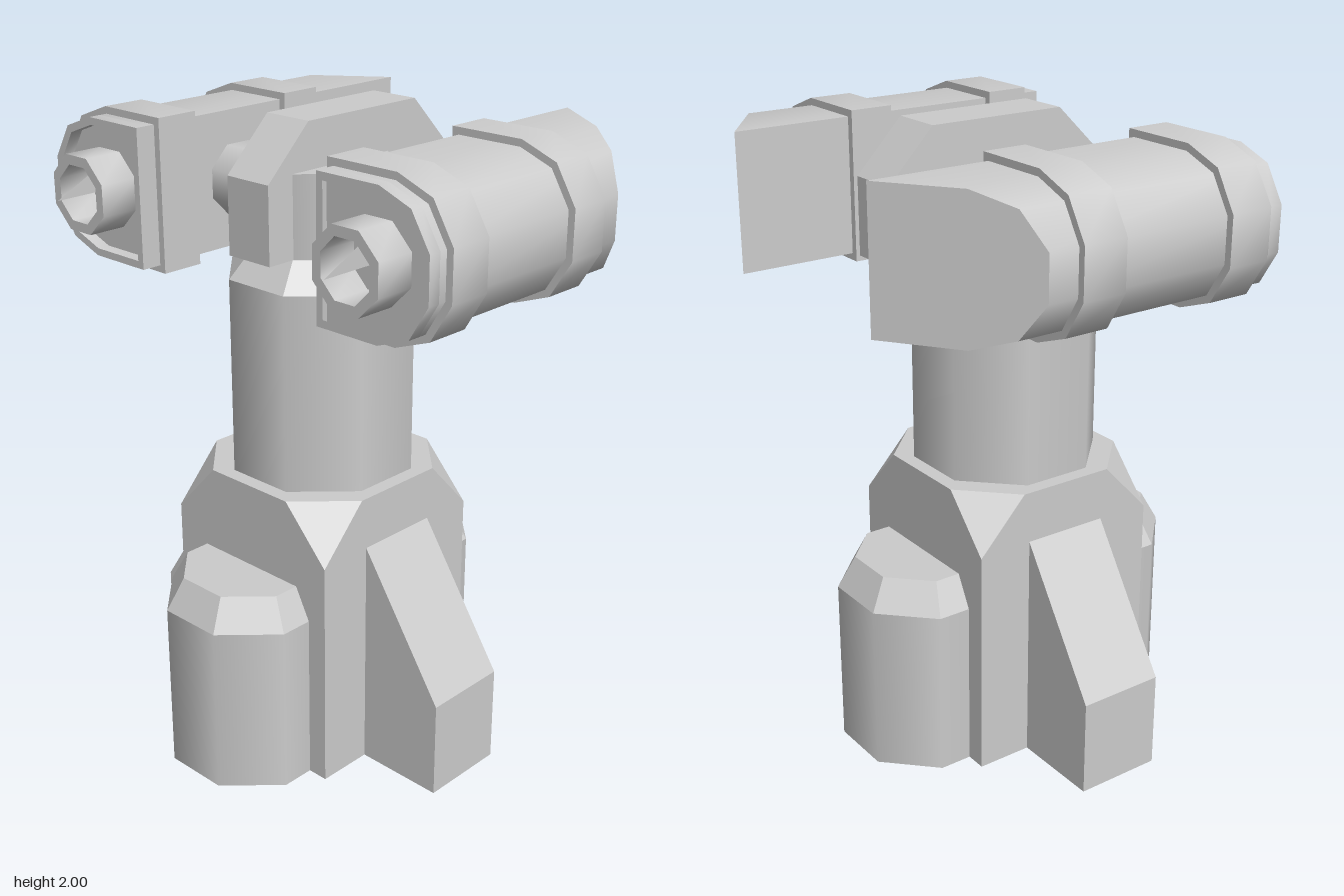
import * as THREE from 'three';
import { toCreasedNormals } from 'three/addons/utils/BufferGeometryUtils.js';
import { ConvexGeometry } from 'three/addons/geometries/ConvexGeometry.js';

const smooth = new THREE.MeshStandardMaterial({ color: 0xcccccc });
const flat = new THREE.MeshStandardMaterial({ color: 0xcccccc, flatShading: true });
const thin = new THREE.MeshStandardMaterial({ color: 0xcccccc, flatShading: true, side: THREE.DoubleSide });
const CZ = 0.065; // depth of the tower's axis
const AXLE_Y = 1.74;
const corner = (apothem) => apothem / Math.cos(Math.PI / 8);

function add(parent, name, geometry, material = flat) {
  const mesh = new THREE.Mesh(geometry, material);
  mesh.name = name;
  parent.add(mesh);
  return mesh;
}

// Octagonal prism or frustum, sized across the flats, with flats facing the axes
function octagon(bottom, top, height) {
  return new THREE.CylinderGeometry(corner(top), corner(bottom), height, 8).rotateY(Math.PI / 8);
}

// Upright octagonal post with smooth sides and a faceted bevel on top
function bevelledPost(parent, name, z, y0, y1, y2, wide, narrow) {
  add(parent, name, octagon(wide, wide, y1 - y0), smooth).position.set(0, (y0 + y1) / 2, z);
  add(parent, name + 'Bevel', octagon(wide, narrow, y2 - y1)).position.set(0, (y1 + y2) / 2, z);
}

const toPoints = (list) => list.map(([x, y]) => new THREE.Vector2(x, y));

// Prism of a front outline between two depths, with an optional hole
function prism(outline, z0, z1, hole) {
  const shape = new THREE.Shape(toPoints(outline));
  if (hole) shape.holes.push(new THREE.Path(toPoints(hole)));
  const geometry = new THREE.ExtrudeGeometry(shape, { depth: z1 - z0, bevelEnabled: false });
  return geometry.translate(0, 0, z0);
}

// Pod section: flat towards the tower, rounded on the outside; inset shrinks it
function podOutline(s, inset) {
  const h = 0.235 - inset;
  const k = h / 0.235;
  const inner = 0.34 + inset, outer = 0.775 - inset;
  const upper = [[inner, h], [outer - 0.19 * k, h], [outer - 0.07 * k, 0.19 * k], [outer, 0.075 * k]];
  const lower = upper.map(([x, y]) => [x, -y]).reverse();
  return [...upper, ...lower].map(([x, y]) => [s * x, AXLE_Y + y]);
}

function octagonOutline(cx, cy, apothem) {
  return Array.from({ length: 8 }, (_, i) => {
    const a = (i + 0.5) * Math.PI / 4;
    return [cx + corner(apothem) * Math.cos(a), cy + corner(apothem) * Math.sin(a)];
  });
}

function createPod(s) {
  const pod = new THREE.Group();
  pod.name = s > 0 ? 'leftPod' : 'rightPod';
  const creased = (geometry) => toCreasedNormals(geometry, 0.85);

  // Body, its back end cut at a slant
  const body = prism(podOutline(s, 0.022), -0.64, 0.415);
  const p = body.attributes.position;
  for (let i = 0; i < p.count; i++) {
    if (p.getZ(i) < 0) p.setZ(i, -0.64 + (Math.abs(p.getX(i)) - 0.362) * 0.73);
  }
  body.computeVertexNormals();
  add(pod, 'podBody', creased(body), smooth);

  // Raised rim around the recessed front
  add(pod, 'frontRim', creased(prism(podOutline(s, 0.022), 0.415, 0.455, podOutline(s, 0.045))), smooth);

  // Two bands around the body
  for (const z of [0.25, -0.26]) {
    add(pod, 'podBand', creased(prism(podOutline(s, 0), z, z + 0.14)), smooth);
  }

  // Hollow muzzle with a thin pointed blade inside
  const x = s * 0.545;
  add(pod, 'muzzle', creased(prism(
    octagonOutline(x, AXLE_Y, 0.115), 0.41, 0.54, octagonOutline(x, AXLE_Y, 0.085))), smooth);
  const blade = new THREE.Shape(toPoints([[0.415, 0], [0.615, 0], [0.48, 0.065], [0.415, 0.065]]));
  const bladeGeometry = new THREE.ShapeGeometry(blade).rotateY(-Math.PI / 2);
  add(pod, 'muzzleBlade', bladeGeometry, thin).position.set(x, AXLE_Y - 0.005, 0);

  // Axle and collar joining the pod to the head
  for (const [name, r, x0, x1] of [['axle', 0.078, 0.15, 0.3], ['axleCollar', 0.11, 0.285, 0.37]]) {
    const geometry = octagon(r, r, x1 - x0).rotateZ(Math.PI / 2);
    add(pod, name, geometry, smooth).position.set(s * (x0 + x1) / 2, AXLE_Y - 0.003, 0.06);
  }
  return pod;
}

export function createModel() {
  const model = new THREE.Group();
  model.name = 'turret';

  // Square base with its four top corners cut off
  const points = [];
  for (const sx of [-1, 1]) for (const sz of [-1, 1]) {
    for (const [x, y, z] of [[0.32, 0, 0.32], [0.32, 0.74, 0.32], [0.16, 0.91, 0.32], [0.32, 0.91, 0.16]]) {
      points.push(new THREE.Vector3(sx * x, y, CZ + sz * z));
    }
  }
  add(model, 'base', new ConvexGeometry(points));

  // Front and back buttresses, and sloped side fins
  for (const s of [1, -1]) {
    bevelledPost(model, s > 0 ? 'frontButtress' : 'backButtress', CZ + s * 0.32, 0, 0.54, 0.64, 0.253, 0.2);
    const outline = [[0.2, 0], [0.61, 0], [0.61, 0.31], [0.32, 0.745], [0.2, 0.745]];
    add(model, s > 0 ? 'leftFin' : 'rightFin',
      prism(outline.map(([x, y]) => [s * x, y]), CZ - 0.14, CZ + 0.14));
  }

  // Column and head
  bevelledPost(model, 'column', CZ, 0.9, 1.525, 1.61, 0.273, 0.205);
  add(model, 'head', octagon(0.2, 0.2, 0.25), smooth).position.set(0, 1.735, CZ);

  // Crest running front to back over the head
  const crest = prism([[-0.36, 1.61], [0.4, 1.61], [0.4, 1.845], [0.25, 2], [-0.2, 2], [-0.36, 1.845]], -0.083, 0.083);
  add(model, 'crest', crest.rotateY(Math.PI / 2));

  model.add(createPod(1), createPod(-1));
  return model;
}
